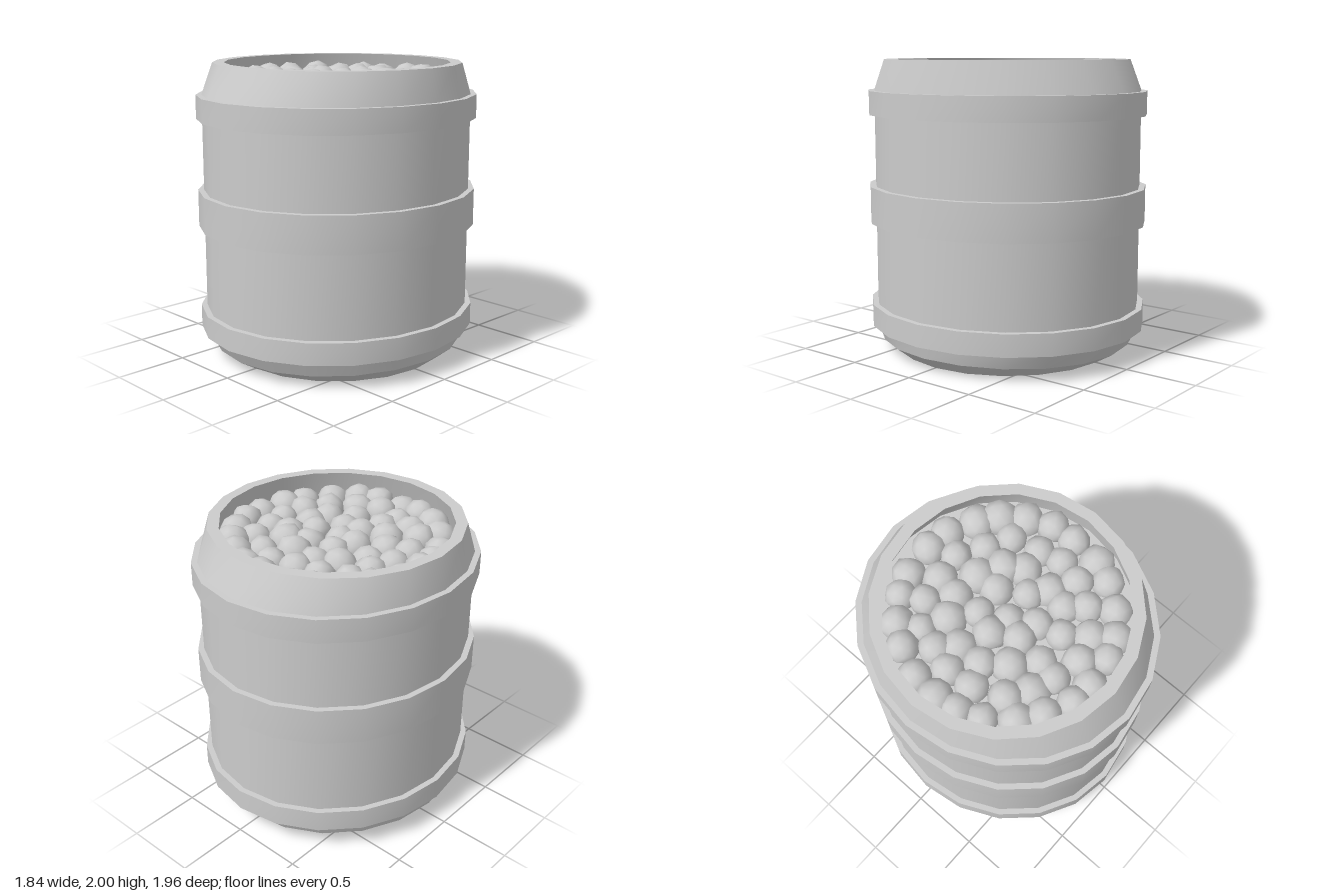
import * as THREE from 'three';
import { mergeVertices } from 'three/addons/utils/BufferGeometryUtils.js';

const SIDES = 20;
const material = new THREE.MeshStandardMaterial({ color: 0xcccccc });

// Skins a list of elliptical rings [y, radiusX, radiusZ, sway], smooth around and creased at each ring
function loft(rings) {
  const positions = [], index = [];
  const addRing = ([y, rx, rz, sway = 0]) => {
    for (let i = 0; i < SIDES; i++) {
      const a = (i / SIDES) * Math.PI * 2;
      positions.push(rx * Math.sin(a), y - sway * Math.cos(2 * a), rz * Math.cos(a));
    }
  };
  for (let r = 0; r < rings.length - 1; r++) {
    const base = positions.length / 3;
    addRing(rings[r]);
    addRing(rings[r + 1]);
    for (let i = 0; i < SIDES; i++) {
      const j = (i + 1) % SIDES;
      const a = base + i, b = base + j, c = b + SIDES, d = a + SIDES;
      if (rings[r][1] > 0) index.push(a, b, c);
      if (rings[r + 1][1] > 0) index.push(a, c, d);
      else if (rings[r][1] > 0) index.push(a, b, d);
    }
  }
  const geometry = new THREE.BufferGeometry();
  geometry.setAttribute('position', new THREE.Float32BufferAttribute(positions, 3));
  geometry.setIndex(index);
  geometry.computeVertexNormals();
  return geometry;
}

// Small seeded generator
function seeded(seed) {
  return () => (seed = (seed * 16807) % 2147483647) / 2147483647;
}

// A lumpy low-poly stone with smooth normals
function stoneGeometry(random) {
  const ico = new THREE.IcosahedronGeometry(1, 1);
  ico.deleteAttribute('normal');
  ico.deleteAttribute('uv');
  const geometry = mergeVertices(ico);
  const p = geometry.attributes.position;
  for (let i = 0; i < p.count; i++) {
    const k = 0.93 + 0.12 * random();
    p.setXYZ(i, p.getX(i) * k, p.getY(i) * k, p.getZ(i) * k);
  }
  geometry.computeVertexNormals();
  return geometry;
}

export function createModel() {
  const group = new THREE.Group();
  const add = (name, geometry, parent = group) => {
    const mesh = new THREE.Mesh(geometry, material);
    mesh.name = name;
    parent.add(mesh);
    return mesh;
  };

  // Barrel: base, chamfers, wall, tapered neck, rim, inner wall and bed
  add('barrel', loft([
    [0, 0, 0],
    [0, 0.75, 0.76],
    [0.08, 0.86, 0.88, 0.01],
    [0.18, 0.88, 0.94],
    [1.79, 0.88, 0.94],
    [2, 0.84, 0.845],
    [2, 0.765, 0.765],
    [1.82, 0.8, 0.83],
    [1.82, 0, 0],
  ]));

  // Hoops
  const hoops = [['lowerHoop', 0.18, 0.33], ['middleHoop', 0.895, 1.145], ['upperHoop', 1.63, 1.79]];
  for (const [name, y0, y1] of hoops) {
    add(name, loft([[y0, 0.875, 0.935], [y0, 0.92, 0.98], [y1, 0.92, 0.98], [y1, 0.875, 0.935]]));
  }

  // Stones filling the barrel, in jittered rings
  const random = seeded(4711);
  const jitter = (amount) => (random() - 0.5) * 2 * amount;
  const shapes = [1, 2, 3, 4].map(() => stoneGeometry(random));
  const stones = new THREE.Group();
  stones.name = 'stones';
  group.add(stones);
  [1, 6, 12, 18, 24].forEach((count, ring) => {
    const turn = random() * Math.PI;
    for (let i = 0; i < count; i++) {
      const a = turn + ((i + jitter(0.15)) / count) * Math.PI * 2;
      const r = ring * 0.17 + jitter(ring < 4 ? 0.025 : 0.01);
      const stone = add('stone', shapes[Math.floor(random() * 4)], stones);
      stone.position.set(r * Math.sin(a), 1.835 + jitter(0.015), r * Math.cos(a));
      stone.rotation.set(random() * 6, random() * 6, random() * 6);
      stone.scale.setScalar(0.112 + jitter(0.01));
    }
  });

  return group;
}
